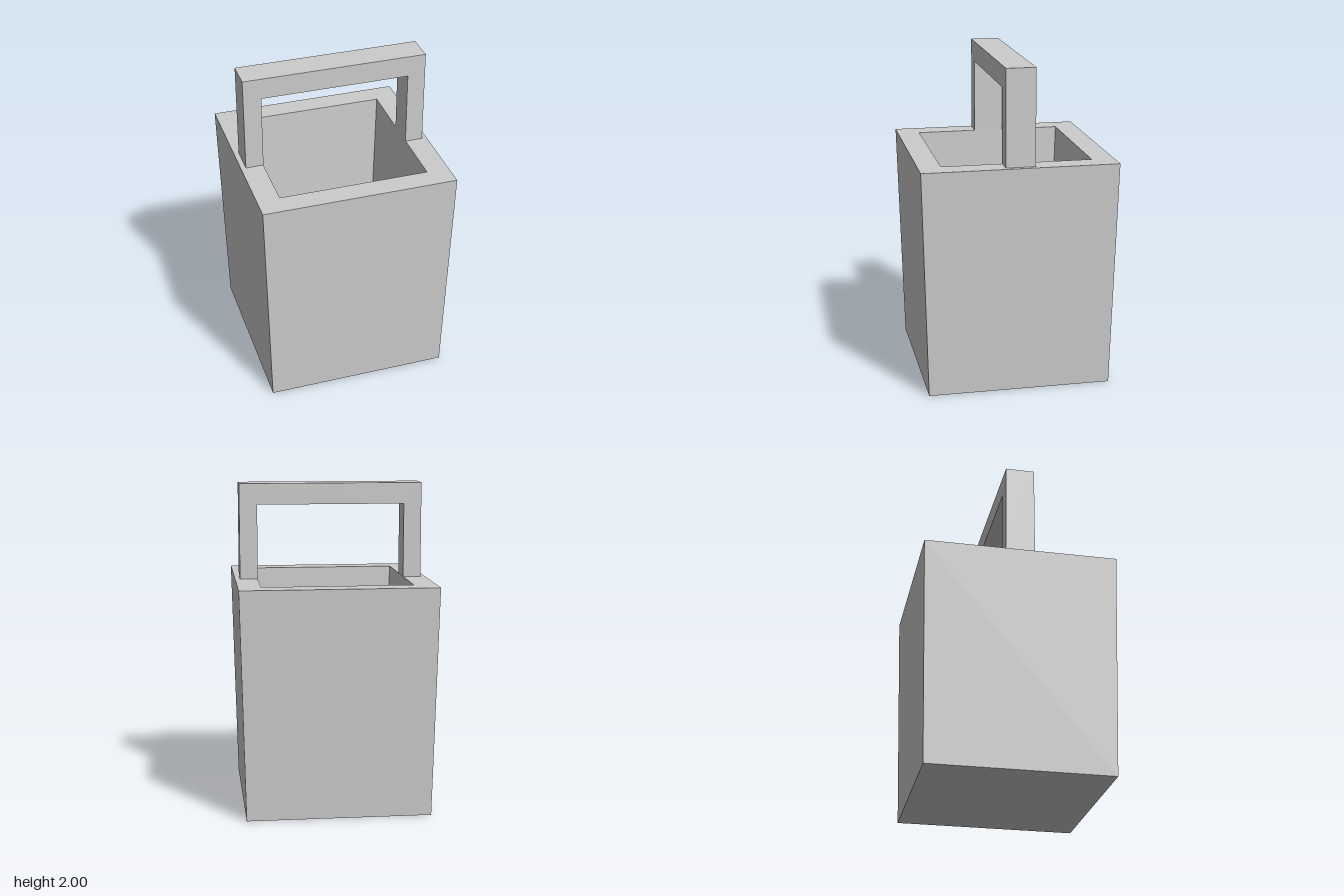
import * as THREE from 'three';

const material = new THREE.MeshStandardMaterial({ color: 0xcccccc, flatShading: true });

function addPart(group, name, geometry) {
  const flat = geometry.index ? geometry.toNonIndexed() : geometry;
  flat.computeVertexNormals();
  const mesh = new THREE.Mesh(flat, material);
  mesh.name = name;
  group.add(mesh);
  return mesh;
}

export function createModel() {
  const group = new THREE.Group();
  group.name = 'bucket';

  // Square tapered bucket: a four-sided lathe, profile given as [half width, height]
  const rimY = 1.41;
  const profile = [
    [0, 0], [0.565, 0], [0.598, rimY], // underside and outer wall
    [0.459, rimY], [0.412, 0.14], [0, 0.14], // rim, inner wall and floor
  ].map(([half, y]) => new THREE.Vector2(half * Math.SQRT2, y));
  addPart(group, 'bucketBody', new THREE.LatheGeometry(profile, 4, Math.PI / 4));

  // Squared arch handle standing on the rim
  const outer = 0.567, inner = 0.457, top = 2, underside = 1.87, depth = 0.18;
  const arch = new THREE.Shape([
    [-outer, rimY], [-inner, rimY], [-inner, underside], [inner, underside],
    [inner, rimY], [outer, rimY], [outer, top], [-outer, top],
  ].map(([x, y]) => new THREE.Vector2(x, y)));
  const handle = new THREE.ExtrudeGeometry(arch, { depth, bevelEnabled: false });
  handle.translate(0, 0, -depth / 2);
  addPart(group, 'handle', handle);

  return group;
}
